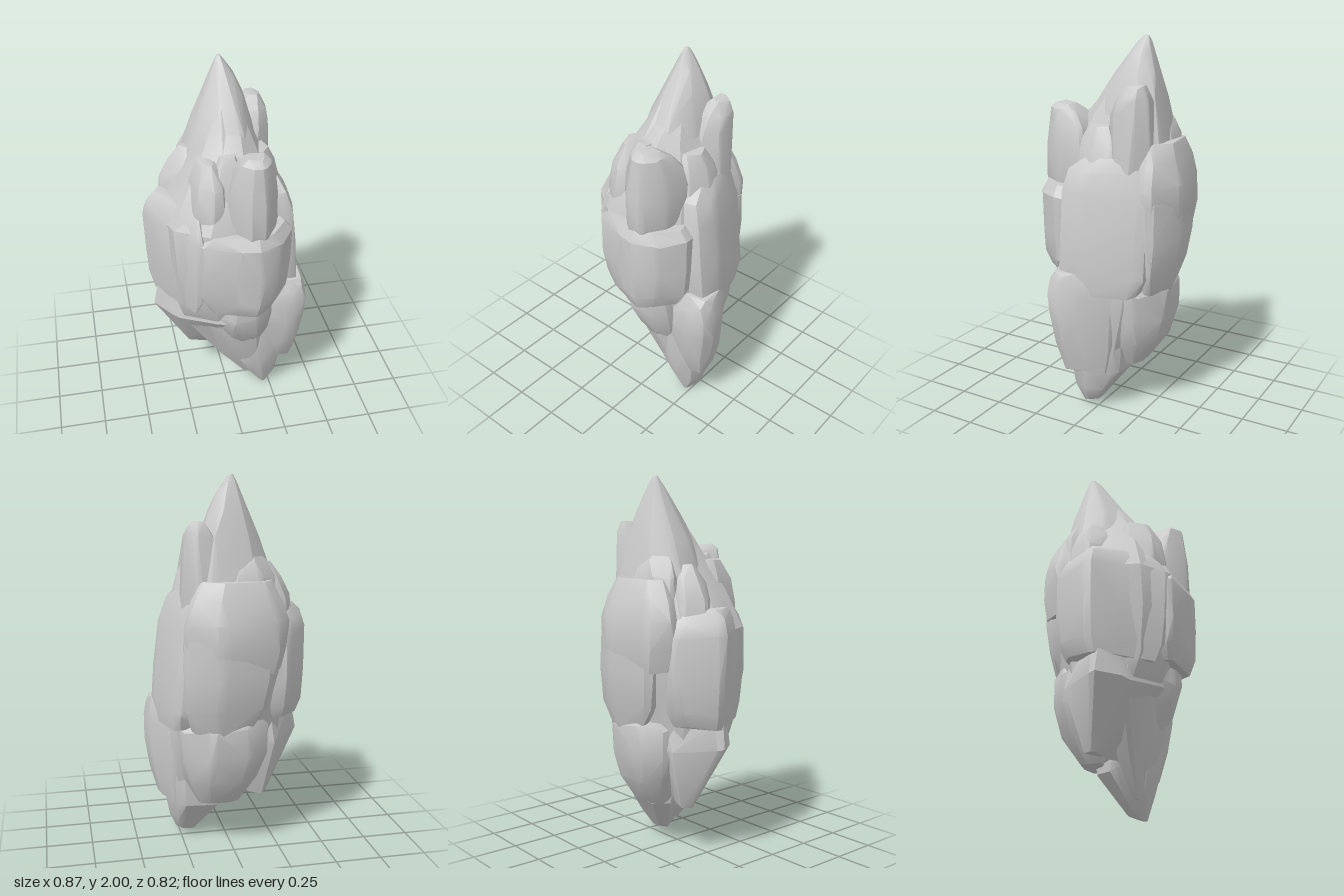
import * as THREE from 'three';
import { ConvexGeometry } from 'three/addons/geometries/ConvexGeometry.js';
import { toCreasedNormals } from 'three/addons/utils/BufferGeometryUtils.js';

const material = new THREE.MeshStandardMaterial({ color: 0xcccccc });

let seed = 7;
function jitter(amount) {
  seed = (seed * 16807) % 2147483647;
  return (seed / 2147483647 - 0.5) * 2 * amount;
}

// Cut each corner of a plan so the boulder gets a bevelled edge
function bevelPlan(plan) {
  const out = [];
  plan.forEach((p, i) => {
    const prev = plan[(i + plan.length - 1) % plan.length];
    const next = plan[(i + 1) % plan.length];
    for (const q of [prev, next]) out.push([p[0] + (q[0] - p[0]) * 0.12, p[1] + (q[1] - p[1]) * 0.12]);
  });
  return out;
}

// A boulder: an (x, z) plan scaled and shifted at each level [y, scale, dx, dz]
function boulder(name, plan, levels) {
  const cx = plan.reduce((s, p) => s + p[0], 0) / plan.length;
  const cz = plan.reduce((s, p) => s + p[1], 0) / plan.length;
  const points = [];
  for (const [y, s, dx = 0, dz = 0] of levels) {
    for (const [x, z] of bevelPlan(plan)) {
      points.push(new THREE.Vector3(
        cx + (x - cx) * s + dx + jitter(0.005),
        y + (s > 0.1 ? jitter(0.015) : 0),
        cz + (z - cz) * s + dz + jitter(0.005)));
    }
  }
  const mesh = new THREE.Mesh(toCreasedNormals(new ConvexGeometry(points), 0.45), material);
  mesh.name = name;
  return mesh;
}

// The inner mass, lofted through rings of [y, xMin, xMax, zMin, zMax]
function core() {
  const rings = [
    [0.15, 0.12, 0.27, -0.06, 0.14], [0.35, -0.1, 0.32, -0.18, 0.15], [0.6, -0.32, 0.36, -0.28, 0.25],
    [0.75, -0.33, 0.36, -0.31, 0.31], [1.0, -0.36, 0.33, -0.36, 0.35], [1.22, -0.37, 0.31, -0.36, 0.34],
    [1.4, -0.27, 0.26, -0.32, 0.27], [1.6, -0.15, 0.17, -0.24, 0.16], [1.8, -0.07, 0.08, -0.19, 0]];
  const n = 10, pos = [], index = [];
  for (const [y, x0, x1, z0, z1] of rings) {
    for (let i = 0; i < n; i++) {
      const a = (i / n) * Math.PI * 2;
      pos.push((x0 + x1) / 2 + Math.cos(a) * (x1 - x0) / 2, y + jitter(0.02), (z0 + z1) / 2 + Math.sin(a) * (z1 - z0) / 2);
    }
  }
  for (let r = 0; r < rings.length - 1; r++) {
    for (let i = 0; i < n; i++) {
      const a = r * n + i, b = r * n + (i + 1) % n;
      index.push(a, a + n, b, b, a + n, b + n);
    }
  }
  const geometry = new THREE.BufferGeometry();
  geometry.setAttribute('position', new THREE.Float32BufferAttribute(pos, 3));
  geometry.setIndex(index);
  const mesh = new THREE.Mesh(toCreasedNormals(geometry, 0.45), material);
  mesh.name = 'core';
  return mesh;
}

export function createModel() {
  const group = new THREE.Group();
  group.name = 'rock';
  group.add(
    core(),
    // Middle band of large slabs
    boulder('leftSlab',
      [[-0.445, -0.06], [-0.3, -0.27], [-0.1, -0.25], [-0.1, 0.2], [-0.18, 0.33], [-0.33, 0.12]],
      [[0.72, 0.78], [0.8, 0.91], [0.95, 0.97], [1.19, 1], [1.27, 0.86], [1.32, 0.7, 0.01]]),
    boulder('frontSlab',
      [[-0.19, 0.33], [0, 0.39], [0.12, 0.415], [0.22, 0.36], [0.32, 0.21], [0.2, 0], [-0.19, 0.1]],
      [[0.75, 0.75], [0.83, 0.93], [0.98, 1], [1.17, 1], [1.23, 0.82]]),
    boulder('rightSlab',
      [[0.37, 0.18], [0.4, 0.05], [0.31, -0.29], [0.1, -0.3], [0.1, 0.19]],
      [[0.7, 0.82, 0.01], [0.8, 0.98], [1.0, 1, -0.02], [1.22, 0.97, -0.04], [1.33, 0.88, -0.06], [1.4, 0.65, -0.07, -0.03]]),
    boulder('backLowerSlab',
      [[-0.2, -0.35], [0.09, -0.41], [0.28, -0.32], [0.25, -0.1], [-0.14, -0.12]],
      [[0.7, 0.68, 0.02, 0.02], [0.82, 0.92, 0.01, 0.01], [1.0, 1], [1.2, 0.97]]),
    boulder('backUpperSlab',
      [[-0.2, -0.365], [0.09, -0.41], [0.28, -0.31], [0.22, -0.1], [-0.2, -0.1], [-0.29, -0.26]],
      [[1.02, 0.86], [1.12, 0.98], [1.27, 1], [1.38, 0.86, 0, 0.01], [1.47, 0.66, 0, 0.01]]),

    // Pointed summit and its shoulders
    boulder('peak',
      [[-0.23, -0.18], [-0.1, -0.3], [0.12, -0.31], [0.22, -0.2], [0.2, 0.02], [0.08, 0.2], [-0.08, 0.18], [-0.22, 0]],
      [[1.3, 1.08], [1.5, 0.92], [1.68, 0.7, 0.01, -0.02], [1.8, 0.48, 0.015, -0.04], [1.9, 0.27, 0.01, -0.05], [1.96, 0.14, 0, -0.065], [2, 0.03, 0, -0.075]]),
    boulder('frontUpperBoulder',
      [[-0.04, 0.29], [0.05, 0.385], [0.14, 0.385], [0.22, 0.27], [0.23, 0.1], [0, 0.1]],
      [[1.18, 0.85], [1.26, 0.98], [1.42, 1], [1.54, 0.86, 0], [1.61, 0.62, 0, 0.02], [1.635, 0.35, 0, 0.03]]),
    boulder('frontMiddleBoulder',
      [[-0.1, 0.25], [0.02, 0.27], [0.05, 0.08], [-0.1, 0.08]],
      [[1.2, 1], [1.38, 0.98], [1.52, 0.9, 0.01, -0.02], [1.6, 0.6, 0.02, -0.04]]),
    boulder('frontLeftUpperBoulder',
      [[-0.23, 0.1], [-0.2, 0.24], [-0.12, 0.3], [-0.05, 0.28], [-0.03, 0.02], [-0.18, 0.02]],
      [[1.22, 0.95], [1.32, 1], [1.46, 0.9, 0.01, -0.01], [1.56, 0.55, 0.02, -0.03]]),
    boulder('leftShoulder',
      [[-0.35, -0.09], [-0.28, -0.2], [-0.05, -0.22], [-0.05, 0.03], [-0.25, 0.04]],
      [[1.25, 1.05], [1.38, 0.93], [1.47, 0.74, 0.02], [1.54, 0.45, 0.04]]),
    boulder('rightShoulder',
      [[0.25, -0.1], [0.25, -0.2], [0.18, -0.27], [0.05, -0.25], [0.05, -0.06], [0.17, -0.02]],
      [[1.35, 1.1], [1.5, 1], [1.62, 0.9, 0.01], [1.7, 0.74, 0.02, -0.02], [1.765, 0.35, 0.03, -0.04]]),
    boulder('rightUpperBoulder',
      [[0.31, 0.02], [0.29, -0.1], [0.12, -0.1], [0.1, 0.14], [0.25, 0.14]],
      [[1.25, 1], [1.36, 0.96, -0.01], [1.48, 0.84, -0.03], [1.56, 0.5, -0.04]]),
    boulder('backShoulder',
      [[-0.23, -0.22], [-0.13, -0.3], [0.02, -0.3], [0.04, -0.12], [-0.18, -0.1]],
      [[1.35, 1.05], [1.48, 0.95], [1.56, 0.72, 0.01, 0.01], [1.62, 0.4, 0.02, 0.02]]),

    // Lower boulders tapering down
    boulder('lowerRightBoulder',
      [[0.435, 0.15], [0.42, 0.04], [0.31, -0.14], [0.1, -0.12], [0.1, 0.2], [0.33, 0.24], [0.41, 0.22]],
      [[0.24, 0.62, -0.02, -0.02], [0.38, 0.84, -0.01, -0.01], [0.55, 0.96], [0.68, 1], [0.75, 0.9], [0.8, 0.72, 0.01]]),
    boulder('lowerLeftBoulder',
      [[-0.41, -0.03], [-0.31, 0.11], [-0.05, 0.27], [0.15, 0.22], [0.18, -0.1], [-0.2, -0.25]],
      [[0.27, 0.2, -0.05, -0.11], [0.4, 0.53, -0.01, -0.06], [0.6, 1], [0.75, 0.91]]),
    boulder('lowerFrontSlope',
      [[-0.31, 0.1], [-0.12, 0.23], [0.1, 0.31], [0.22, 0.18], [0.1, -0.08], [-0.2, -0.1]],
      [[0.1, 0.2, 0.19, -0.02], [0.25, 0.42, 0.11, -0.02], [0.62, 0.98], [0.72, 0.95]]),
    boulder('frontKnob',
      [[-0.11, 0.25], [-0.02, 0.33], [0.12, 0.35], [0.23, 0.27], [0.2, 0.05], [-0.08, 0.05]],
      [[0.43, 0.5, 0.03, -0.06], [0.52, 0.8, 0.01, -0.05], [0.66, 0.98, 0, -0.02], [0.79, 0.85]]),
    boulder('lowerBackBoulder',
      [[-0.2, -0.24], [-0.08, -0.33], [0.13, -0.34], [0.28, -0.24], [0.3, -0.08], [-0.15, -0.02]],
      [[0.26, 0.45, 0.02, 0.06], [0.4, 0.82, 0.01, 0.02], [0.55, 0.97], [0.7, 1], [0.78, 0.75]]),
    boulder('bottomTip',
      [[-0.02, -0.03], [0.04, 0.14], [0.16, 0.2], [0.29, 0.17], [0.35, 0.03], [0.27, -0.13], [0.07, -0.15]],
      [[0, 0.08, 0.05, 0.06], [0.04, 0.32, 0.05, 0.03], [0.12, 0.6, 0.03, 0.02], [0.22, 0.91], [0.35, 1.02], [0.55, 1.05]]));
  return group;
}
